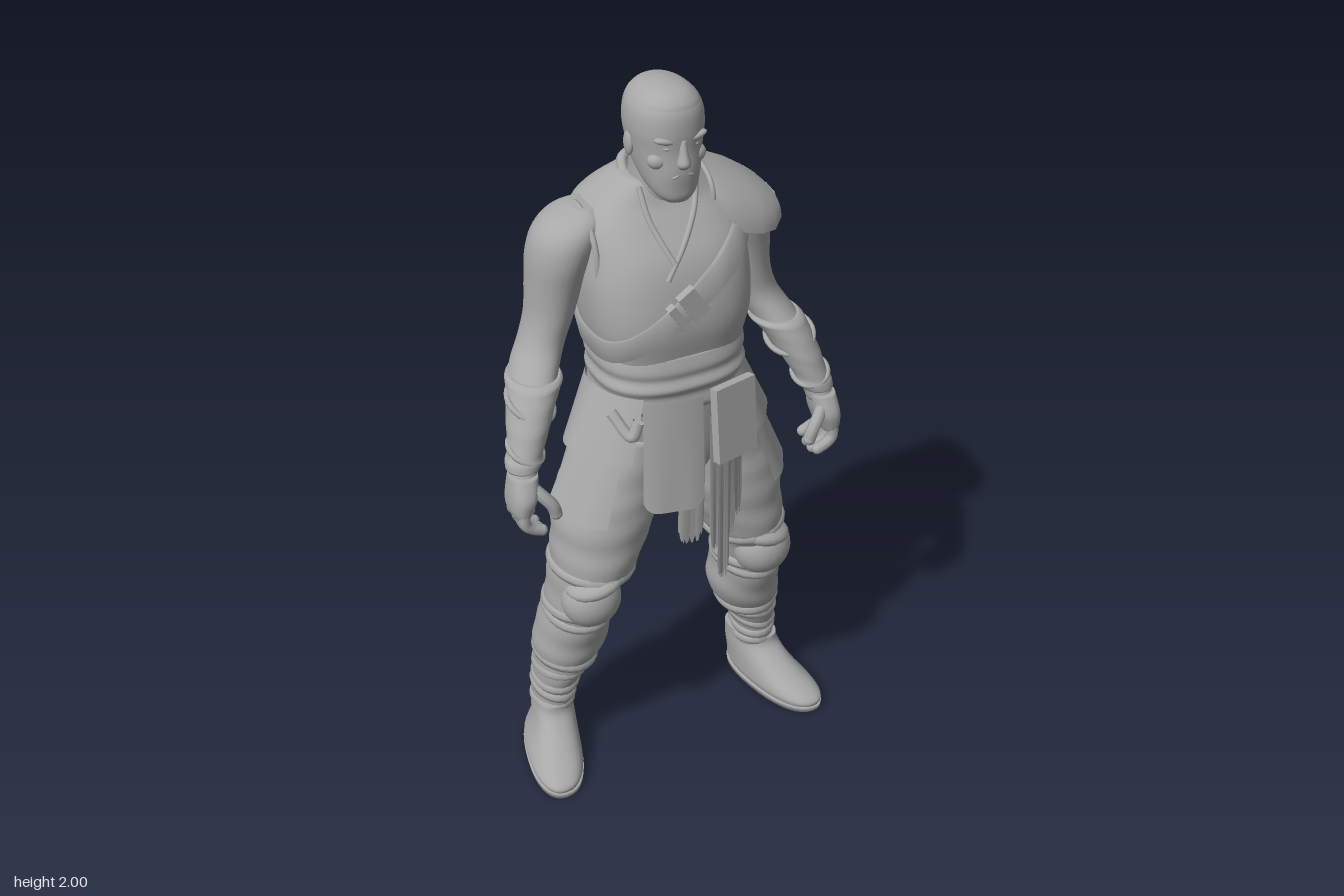
import * as THREE from 'three';

const grey = new THREE.MeshStandardMaterial({ color: 0xa8a8a8, side: THREE.DoubleSide });
grey.name = 'clay grey';

function add(group, name, geometry, x = 0, y = 0, z = 0) {
  const mesh = new THREE.Mesh(geometry, grey);
  mesh.name = name;
  mesh.position.set(x, y, z);
  group.add(mesh);
  return mesh;
}

function grid(rows, closed) {
  const n = rows[0].length, index = [];
  for (let i = 0; i < rows.length - 1; i++)
    for (let j = 0; j < (closed ? n : n - 1); j++) {
      const k = (j + 1) % n, a = i * n + j, b = i * n + k;
      index.push(a, b, b + n, a, b + n, a + n);
    }
  const g = new THREE.BufferGeometry();
  g.setAttribute('position', new THREE.Float32BufferAttribute(rows.flat(2), 3));
  g.setIndex(index);
  g.computeVertexNormals();
  return g;
}

// Smooth in-between section of a list of [y, cx, cz, rx, rz]
function between(list, t) {
  const i = Math.min(Math.floor(t), list.length - 2), f = t - i;
  const at = k => list[Math.max(0, Math.min(list.length - 1, k))];
  return list[0].map((_, c) => {
    const [p, q, r, s] = [at(i - 1)[c], at(i)[c], at(i + 1)[c], at(i + 2)[c]];
    return q + 0.5 * f * (r - p + f * (2 * p - 5 * q + 4 * r - s + f * (3 * (q - r) + s - p)));
  });
}

const bend = (v, n) => Math.sign(v) * Math.abs(v) ** (2 / n);

// Closed body from horizontal superellipse sections, listed from the bottom up
function loft(list, { n = 2, steps = 5, sides = 36, fold = 0, freq = 90, shear = 0 } = {}) {
  const rows = [], total = (list.length - 1) * steps;
  const ring = (s, k) => Array.from({ length: sides }, (_, j) => {
    const a = j / sides * Math.PI * 2;
    const r = k * (1 + fold * Math.sin(s[0] * freq + 1.5 * Math.sin(a) + Math.cos(2 * a)));
    const z = s[2] + s[4] * r * bend(Math.cos(a), n);
    return [s[1] + s[3] * r * bend(Math.sin(a), n) + shear * z, s[0], z];
  });
  rows.push(ring(list[0], 0.001));
  for (let i = 0; i <= total; i++) rows.push(ring(between(list, i / steps), 1));
  rows.push(ring(list[list.length - 1], 0.001));
  return grid(rows, true);
}

// Hanging curved cloth: angles in degrees from the front, top and bottom as [y, rx, rz]
function panel(a0, a1, top, bottom, rag = 0, round = 0) {
  const rows = [], m = 24;
  for (let i = 0; i <= 8; i++) rows.push(Array.from({ length: m + 1 }, (_, j) => {
    const u = j / m, t = i / 8, a = (a0 + (a1 - a0) * u) * Math.PI / 180;
    const hem = rag * Math.abs(Math.sin(j * 0.7) + 0.6 * Math.sin(j * 1.9)) + round * (2 * u - 1) ** 6;
    const [y, rx, rz] = top.map((v, c) => v + (bottom[c] - v) * t);
    const w = 1 + 0.01 * t * Math.sin(u * 9);
    return [rx * w * Math.sin(a), y + hem * t, rz * w * Math.cos(a)];
  }));
  return grid(rows.reverse(), false);
}

const tube = (points, r, closed = false) => new THREE.TubeGeometry(
  new THREE.CatmullRomCurve3(points.map(p => new THREE.Vector3(...p)), closed), 24, r, 8, closed);

const TORSO = [
  [0.84, 0, -0.01, 0.06, 0.07], [0.95, 0, -0.005, 0.15, 0.12], [1.1, 0, 0, 0.19, 0.14],
  [1.22, 0, 0, 0.188, 0.152], [1.3, 0, -0.01, 0.192, 0.16], [1.4, 0, -0.01, 0.212, 0.175],
  [1.5, 0, -0.03, 0.218, 0.183], [1.58, 0, -0.05, 0.21, 0.176], [1.65, 0, -0.075, 0.202, 0.15],
  [1.7, 0, -0.08, 0.16, 0.118], [1.755, 0, -0.06, 0.085, 0.08]];
const SQUARE = 2.8;

function torsoAt(y) {
  let i = 0;
  while (i < TORSO.length - 2 && TORSO[i + 1][0] < y) i++;
  const f = (y - TORSO[i][0]) / (TORSO[i + 1][0] - TORSO[i][0]);
  return TORSO[i].map((v, c) => v + (TORSO[i + 1][c] - v) * f);
}
function onTorso(a, y, out) {
  const [, , cz, rx, rz] = torsoAt(y);
  return [(rx + out) * bend(Math.sin(a), SQUARE), y, cz + (rz + out) * bend(Math.cos(a), SQUARE)];
}
function onChest(x, y, out) {
  const [, , cz, rx, rz] = torsoAt(y);
  return [x, y, cz + out + rz * (1 - Math.min(1, Math.abs(x) / rx) ** SQUARE) ** (1 / SQUARE)];
}

function buildArm() {
  const arm = new THREE.Group();
  add(arm, 'arm', loft([
    [1.03, 0.432, 0.065, 0.036, 0.042], [1.08, 0.42, 0.05, 0.04, 0.042], [1.15, 0.395, 0.02, 0.048, 0.058],
    [1.22, 0.365, -0.02, 0.058, 0.072], [1.27, 0.338, -0.06, 0.06, 0.078], [1.33, 0.305, -0.085, 0.058, 0.073],
    [1.4, 0.28, -0.09, 0.061, 0.078], [1.48, 0.265, -0.09, 0.07, 0.088], [1.56, 0.25, -0.085, 0.08, 0.1],
    [1.62, 0.23, -0.08, 0.083, 0.098], [1.66, 0.205, -0.08, 0.07, 0.082], [1.685, 0.185, -0.08, 0.03, 0.045]]));
  add(arm, 'bracer', loft([
    [1.06, 0.427, 0.055, 0.043, 0.046], [1.08, 0.42, 0.05, 0.049, 0.05], [1.1, 0.412, 0.042, 0.046, 0.05],
    [1.16, 0.39, 0.015, 0.055, 0.065], [1.23, 0.36, -0.025, 0.066, 0.08], [1.25, 0.348, -0.04, 0.072, 0.085],
    [1.26, 0.343, -0.05, 0.066, 0.08]], { fold: 0.012, freq: 120 }));
  for (const [y, x, z, r] of [[1.1, 0.412, 0.042, 0.046], [1.2, 0.373, -0.008, 0.062]]) {
    const strap = add(arm, 'bracer strap', new THREE.TorusGeometry(r, 0.008, 8, 28), x, y, z);
    strap.rotation.set(Math.PI / 2 + 0.35, 0.3, 0);
    strap.scale.y = 1.1;
  }
  // Hand with the palm turned inward
  add(arm, 'palm', loft([
    [0.935, 0.45, 0.072, 0.02, 0.05], [0.96, 0.448, 0.072, 0.029, 0.057], [1.0, 0.44, 0.074, 0.036, 0.058],
    [1.05, 0.432, 0.066, 0.036, 0.044]], { n: 2.4 }));
  for (let i = 0; i < 4; i++) {
    const z = 0.031 + i * 0.027, d = [0.02, 0.004, 0, 0.01][i];
    add(arm, 'finger', tube([[0.45, 0.96, z], [0.449, 0.92, z], [0.434, 0.893 + d, z], [0.405, 0.88 + d, z]], 0.0155));
    add(arm, 'fingertip', new THREE.SphereGeometry(0.0155, 12, 8), 0.405, 0.88 + d, z);
  }
  add(arm, 'thumb', tube([[0.432, 1.03, 0.09], [0.4, 0.995, 0.115], [0.378, 0.965, 0.125], [0.37, 0.94, 0.125]], 0.017));
  add(arm, 'thumb tip', new THREE.SphereGeometry(0.017, 12, 8), 0.37, 0.94, 0.125);
  return arm;
}

function buildLeg() {
  const leg = new THREE.Group();
  add(leg, 'trouser leg', loft([
    [0.1, 0.325, -0.075, 0.055, 0.075], [0.2, 0.32, -0.07, 0.057, 0.078], [0.26, 0.31, -0.06, 0.065, 0.086],
    [0.31, 0.295, -0.055, 0.077, 0.095], [0.36, 0.278, -0.05, 0.097, 0.108], [0.42, 0.268, -0.04, 0.1, 0.115],
    [0.5, 0.262, -0.018, 0.09, 0.118], [0.56, 0.258, -0.002, 0.091, 0.114], [0.62, 0.247, 0.005, 0.097, 0.122],
    [0.68, 0.225, 0.015, 0.114, 0.132], [0.75, 0.205, 0.014, 0.128, 0.133], [0.85, 0.18, 0.01, 0.142, 0.137],
    [0.95, 0.15, 0, 0.13, 0.135], [1.08, 0.1, 0, 0.1, 0.125]], { fold: 0.014, freq: 70 }));
  // Bindings above the knee, below it and round the ankle, sunk into the cloth
  const wraps = [[0.67, 0.228, 0.013, 0.1, 0.118, 0.019], [0.535, 0.259, -0.007, 0.08, 0.101, 0.021],
    [0.505, 0.261, -0.015, 0.078, 0.102, 0.019], [0.33, 0.287, -0.053, 0.07, 0.086, 0.021],
    [0.285, 0.302, -0.058, 0.056, 0.076, 0.021], [0.24, 0.313, -0.063, 0.048, 0.068, 0.02],
    [0.2, 0.32, -0.068, 0.044, 0.065, 0.019], [0.155, 0.323, -0.072, 0.044, 0.063, 0.018]];
  wraps.forEach(([y, x, z, rx, rz, r], i) => {
    const pts = Array.from({ length: 16 }, (_, j) => {
      const a = j / 8 * Math.PI;
      return [x + rx * Math.sin(a), y + 0.008 * Math.sin(a + i * 2), z + rz * Math.cos(a)];
    });
    add(leg, 'leg wrap', tube(pts, r, true));
  });
  const pad = add(leg, 'knee pad', new THREE.SphereGeometry(1, 24, 16), 0.26, 0.595, 0.08);
  pad.scale.set(0.083, 0.085, 0.073);
  const flap = add(leg, 'knee flap', new THREE.SphereGeometry(1, 24, 12), 0.25, 0.655, 0.085);
  flap.scale.set(0.085, 0.035, 0.075);
  flap.rotation.z = -0.25;
  // Soft shoe, toes turned out
  add(leg, 'shoe', loft([
    [0.008, 0.357, 0.008, 0.07, 0.168], [0.03, 0.357, 0.008, 0.078, 0.176], [0.05, 0.353, -0.002, 0.075, 0.162],
    [0.075, 0.346, -0.025, 0.068, 0.134], [0.105, 0.34, -0.05, 0.062, 0.107], [0.14, 0.337, -0.07, 0.058, 0.084],
    [0.17, 0.335, -0.073, 0.057, 0.078]], { n: 2.3, shear: 0.2 }));
  add(leg, 'sole', loft([[0, 0.357, 0.008, 0.078, 0.175], [0.018, 0.357, 0.008, 0.08, 0.177]],
    { n: 2.3, steps: 1, shear: 0.2 }));
  return leg;
}

function buildHead() {
  const head = new THREE.Group();
  add(head, 'neck', loft([[1.69, 0, -0.05, 0.09, 0.085], [1.76, 0, -0.03, 0.076, 0.08], [1.86, 0, -0.03, 0.072, 0.077]]));
  add(head, 'skull', loft([
    [1.72, 0, 0.06, 0.032, 0.03], [1.735, 0, 0.05, 0.05, 0.047], [1.76, 0, 0.03, 0.066, 0.07],
    [1.8, 0, 0.006, 0.078, 0.098], [1.85, 0, -0.007, 0.087, 0.107], [1.9, 0, -0.01, 0.093, 0.112],
    [1.95, 0, -0.01, 0.086, 0.106], [1.983, 0, -0.01, 0.058, 0.08], [1.996, 0, -0.01, 0.02, 0.03]], { n: 2.2 }));
  add(head, 'hair', loft([[1.945, 0, -0.012, 0.087, 0.107], [1.968, 0, -0.01, 0.076, 0.098],
    [1.99, 0, -0.01, 0.05, 0.072], [2, 0, -0.01, 0.014, 0.025]], { n: 2.2 }));
  add(head, 'nose', loft([[1.812, 0, 0.096, 0.012, 0.012], [1.826, 0, 0.098, 0.018, 0.023],
    [1.85, 0, 0.097, 0.012, 0.017], [1.885, 0, 0.09, 0.01, 0.013]], { sides: 16 }));
  const blob = (name, x, y, z, sx, sy, sz, tilt = 0) => {
    const m = add(head, name, new THREE.SphereGeometry(1, 16, 12), x, y, z);
    m.scale.set(sx, sy, sz);
    m.rotation.z = tilt;
  };
  for (const s of [-1, 1]) {
    blob('brow', s * 0.036, 1.884, 0.083, 0.034, 0.01, 0.016, s * 0.2);
    blob('eye', s * 0.035, 1.866, 0.083, 0.014, 0.006, 0.012);
    blob('ear', s * 0.089, 1.85, -0.015, 0.01, 0.032, 0.02);
    blob('cheek', s * 0.047, 1.83, 0.063, 0.03, 0.024, 0.024);
    blob('moustache', s * 0.015, 1.796, 0.092, 0.02, 0.007, 0.012, -s * 0.4);
  }
  blob('lower lip', 0, 1.778, 0.092, 0.018, 0.006, 0.009);
  blob('beard', 0, 1.745, 0.073, 0.028, 0.027, 0.026);
  return head;
}

export function createModel() {
  const model = new THREE.Group();
  add(model, 'vest', loft(TORSO, { n: SQUARE, sides: 48 }));
  model.add(buildHead());
  for (const s of [1, -1]) for (const [name, build] of [['arm', buildArm], ['leg', buildLeg]]) {
    const limb = build();
    limb.name = (s > 0 ? 'left ' : 'right ') + name;
    limb.scale.x = s;
    model.add(limb);
  }
  // Collar, armhole and shoulder strap
  add(model, 'left collar', tube([[0.08, 1.74], [0.055, 1.68], [0, 1.61], [-0.06, 1.54]].map(p => onChest(...p, 0)), 0.008));
  add(model, 'right collar', tube([[-0.075, 1.74], [-0.07, 1.67], [-0.05, 1.61], [-0.035, 1.575]].map(p => onChest(...p, 0)), 0.008));
  add(model, 'nape collar', tube([[-0.08, 1.74, -0.06], [-0.06, 1.765, -0.11], [0, 1.77, -0.13],
    [0.06, 1.765, -0.11], [0.08, 1.74, -0.06]], 0.014));
  const hole = add(model, 'armhole', new THREE.TorusGeometry(0.12, 0.008, 8, 36), -0.2, 1.55, -0.075);
  hole.rotation.y = Math.PI / 2;
  hole.scale.set(0.95, 1.1, 1);
  const bands = [[-0.036, 0], [-0.034, 0.012], [0.034, 0.012], [0.036, 0]].map(([dy, out]) =>
    Array.from({ length: 64 }, (_, j) => {
      const a = j / 32 * Math.PI;
      let y = 1.48;
      for (let k = 0; k < 12; k++) y = 1.48 + dy + 0.7 * onTorso(a, y, 0)[0];
      return onTorso(a, y, out);
    }));
  add(model, 'shoulder strap', grid(bands, true));
  for (const [x, y, w] of [[-0.045, 1.45, 0.022], [-0.005, 1.48, 0.05]]) {
    const buckle = add(model, 'buckle', new THREE.BoxGeometry(w, 0.085, 0.022), ...onChest(x, y, 0.01));
    buckle.rotation.z = 0.6;
  }
  // Shoulder guard on the left, narrowing to its outer edge
  const guard = [[0.11, 1.68, 0.075, 0.12], [0.14, 1.63, 0.112, 0.15], [0.18, 1.59, 0.135, 0.158], [0.23, 1.575, 0.125, 0.158],
    [0.275, 1.57, 0.1, 0.145], [0.31, 1.58, 0.06, 0.11]];
  const arc = ([x, base, h, w]) => Array.from({ length: 25 }, (_, j) => {
    const t = (0.5 - j / 24) * Math.PI;
    return [x, base + h * bend(Math.cos(t), 2.3), -0.075 + w * bend(Math.sin(t), 2.3)];
  });
  add(model, 'shoulder guard', grid(guard.map(arc), false));
  add(model, 'guard inner rim', tube(arc(guard[0]), 0.007));
  for (let i = 0; i < 3; i++) {
    const tab = add(model, 'guard tab', new THREE.BoxGeometry(0.01, 0.08, 0.058),
      i === 1 ? 0.328 : 0.322, 1.59 - 0.006 * (i % 2), -0.15 + i * 0.057);
    tab.rotation.set(0, (1 - i) * 0.12, 0.25);
  }
  // Waist sash in soft overlapping rolls
  add(model, 'sash', loft([[1.16, 0, 0, 0.19, 0.15], [1.18, 0, 0, 0.2, 0.163], [1.215, 0, 0, 0.196, 0.16],
    [1.24, 0, 0, 0.204, 0.17], [1.265, 0, -0.004, 0.197, 0.164], [1.29, 0, -0.007, 0.203, 0.17],
    [1.325, 0, -0.01, 0.198, 0.164]], { n: 2.5, sides: 48 }));
  // Skirt plates and hanging cloths
  for (const s of [1, -1]) {
    add(model, 'upper skirt plate', panel(s * 38, s * 88, [1.22, 0.208, 0.178], [1.05, 0.285, 0.215]));
    add(model, 'rear skirt plate', panel(s * 86, s * 142, [1.22, 0.212, 0.168], [1.04, 0.28, 0.18]));
    add(model, 'lower skirt plate', panel(s * 46, s * 92, [1.15, 0.225, 0.178], [0.865, 0.342, 0.235]));
    add(model, 'lower rear plate', panel(s * 88, s * 140, [1.15, 0.225, 0.155], [0.845, 0.325, 0.175], 0.006));
  }
  add(model, 'back cloth', panel(138, 222, [1.21, 0.215, 0.162], [0.745, 0.26, 0.18], 0.022, 0.09));
  add(model, 'front cloth', panel(-36, 5, [1.21, 0.225, 0.178], [0.88, 0.235, 0.192], 0, 0.03));
  add(model, 'inner cloth', panel(-10, 12, [1.15, 0.2, 0.16], [0.73, 0.2, 0.15], 0.015, 0.05));
  [[9, 20, 0.72], [15, 27, 0.62], [24, 35, 0.74], [33, 45, 0.79]].forEach(([a, b, y], i) =>
    add(model, 'torn strip', panel(a, b, [1.15, 0.22, 0.19], [y, 0.215, 0.203 + 0.007 * (i % 2)], 0.02, 0.05)));
  const pouch = add(model, 'belt flap', new THREE.BoxGeometry(0.13, 0.21, 0.025), 0.1, 1.13, 0.195);
  pouch.rotation.set(-0.12, 0.25, 0);
  add(model, 'hanging cord', tube([[-0.2, 1.18, 0.1], [-0.17, 1.13, 0.155], [-0.15, 1.17, 0.155]], 0.016));
  return model;
}
